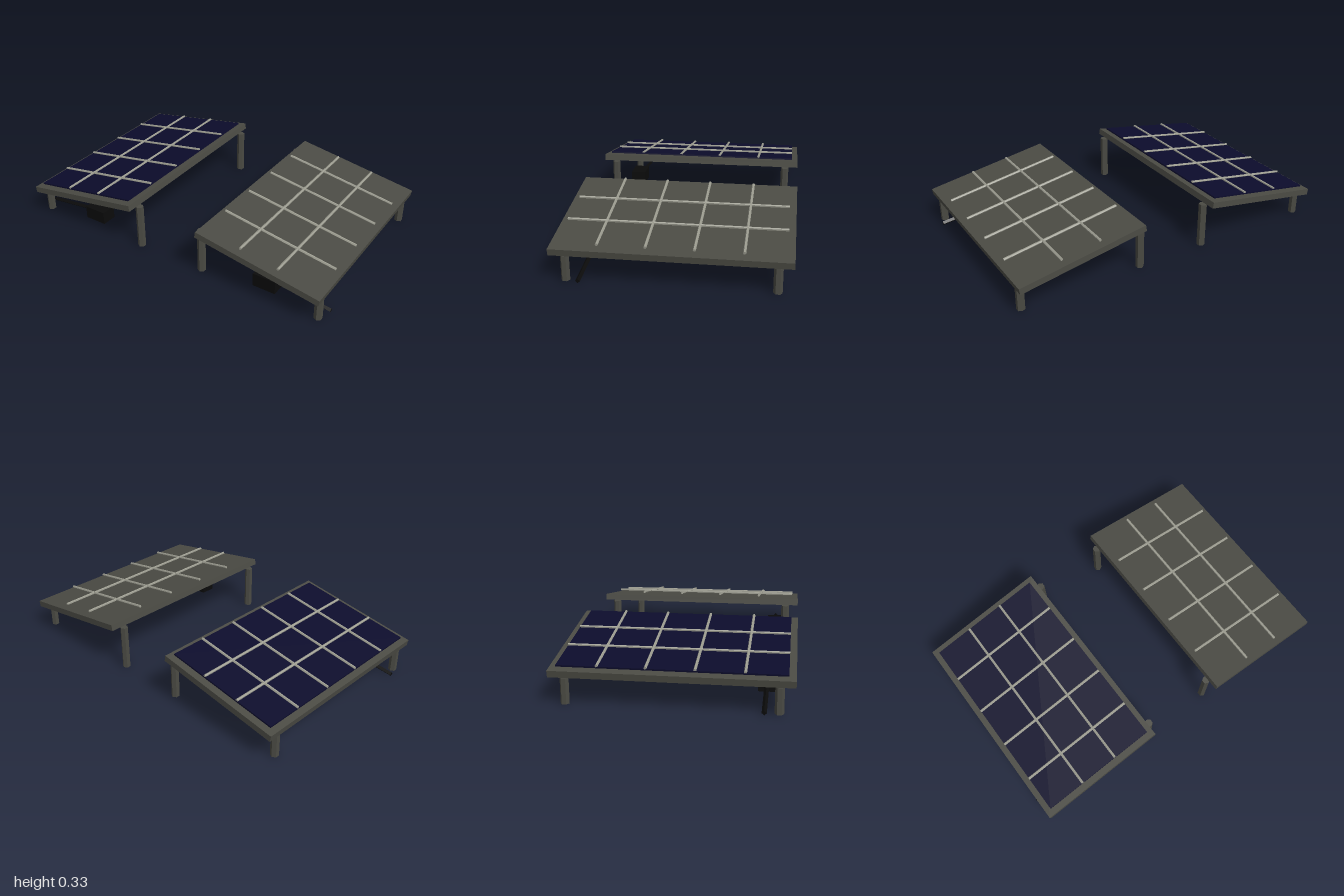
import * as THREE from 'three';

const material = (name, color) => {
  const m = new THREE.MeshStandardMaterial({ color, flatShading: true });
  m.name = name;
  return m;
};

export function createModel() {
  const frameGrey = material('frame grey', 0x4b4b44);
  const cellBlue = material('cell navy', 0x0c0c2c);
  const barGrey = material('bar light grey', 0x9c9c90);
  const black = material('box black', 0x0b0b0b);

  const add = (parent, name, geometry, mat, x = 0, y = 0, z = 0) => {
    const mesh = new THREE.Mesh(geometry, mat);
    mesh.name = name;
    mesh.position.set(x, y, z);
    parent.add(mesh);
    return mesh;
  };

  // Rod between two points
  const addRod = (parent, name, a, b, radius, sides, mat) => {
    const dir = b.clone().sub(a);
    const rod = add(parent, name, new THREE.CylinderGeometry(radius, radius, dir.length(), sides), mat);
    rod.position.copy(a).add(b).multiplyScalar(0.5);
    rod.quaternion.setFromUnitVectors(new THREE.Vector3(0, 1, 0), dir.normalize());
  };

  const TILT = 0.166, THICK = 0.037, CELL_X = 0.705, CELL_Z = 1.186;
  const model = new THREE.Group();
  model.name = 'solarTables';

  for (const s of [-1, 1]) {
    const table = new THREE.Group();
    table.name = s < 0 ? 'rightTable' : 'leftTable';
    model.add(table);

    // Tilted panel, high edge toward the middle
    const panel = new THREE.Group();
    panel.name = 'panel';
    panel.position.set(s * 0.611, 0.2295, 0);
    panel.rotation.z = -s * TILT;
    table.add(panel);
    add(panel, 'frame', new THREE.BoxGeometry(0.773, THICK, 1.26), frameGrey);

    // Only the right table carries the cell sheet
    const top = THICK / 2;
    if (s < 0) {
      add(panel, 'cells', new THREE.BoxGeometry(CELL_X, 0.009, CELL_Z), cellBlue, 0.003, top + 0.0115, 0);
    }

    // Dividing bars
    const cx = -s * 0.003, by = top + 0.019;
    for (const i of [-0.5, 0.5]) {
      const x = cx + i * CELL_X / 3;
      addRod(panel, 'longBar', new THREE.Vector3(x, by, -CELL_Z / 2),
        new THREE.Vector3(x, by, CELL_Z / 2), 0.008, 6, barGrey);
    }
    for (const z of [-0.378, -0.126, 0.126, 0.378]) {
      addRod(panel, 'crossBar', new THREE.Vector3(cx - CELL_X / 2, by, z),
        new THREE.Vector3(cx + CELL_X / 2, by, z), 0.008, 6, barGrey);
    }

    // Hexagonal legs: tall inside, short outside
    for (const z of [-0.55, 0.55]) {
      for (const [name, x, h] of [['innerLeg', 0.218, 0.274], ['outerLeg', 0.959, 0.142]]) {
        add(table, name, new THREE.CylinderGeometry(0.024, 0.024, h, 6), frameGrey, s * x, h / 2, z);
      }
    }

    // Junction box and its cable
    add(table, 'junctionBox', new THREE.BoxGeometry(0.142, 0.08, 0.095), black, s * 0.61, 0.052, 0.476);
    addRod(table, 'cable', new THREE.Vector3(s * 0.998, 0.015, 0.476),
      new THREE.Vector3(s * 0.62, 0.061, 0.476), 0.013, 4, black);
  }
  return model;
}
